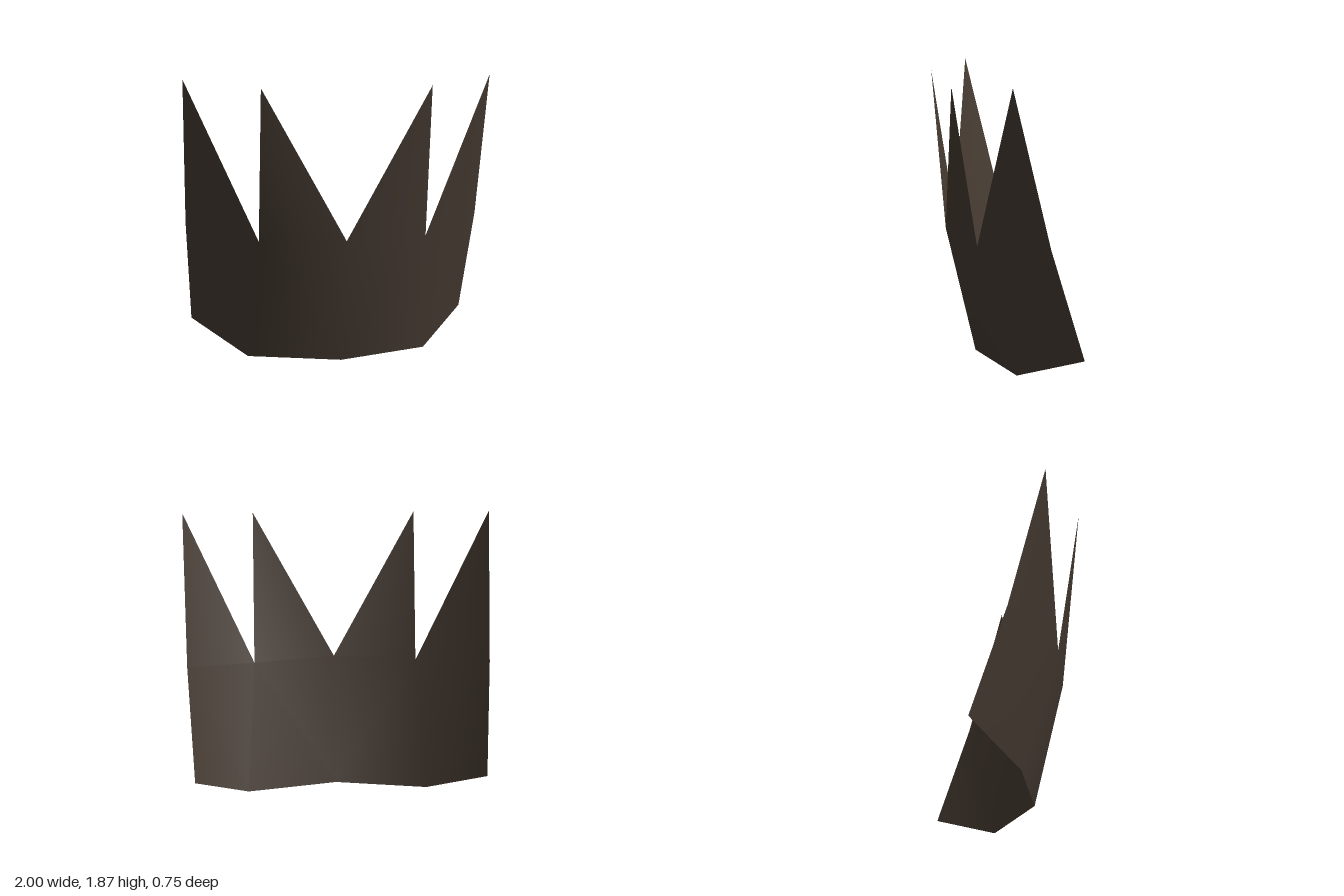
import * as THREE from 'three';

export function createModel() {
  const model = new THREE.Group();
  const darkBrown = new THREE.MeshStandardMaterial({ color: 0x453a31, side: THREE.DoubleSide });
  darkBrown.name = 'darkBrown';

  // Half profiles, from the centre line out to the model's left edge
  const bottom = [[0, 0, 0.155], [0.6, 0.006, -0.02], [0.945, 0.19, -0.378]];
  const middle = [[0, 0.845, 0.35], [0.547, 0.835, 0.222], [0.985, 0.9, -0.157]];
  const tips = [[0.542, 1.83, 0.375], [1, 1.865, 0.078]];

  // Mirror a half row into a full row running from -x to +x
  const mirror = (row) => [
    ...row.filter((p) => p[0] > 0).reverse().map(([x, y, z]) => [-x, y, z]),
    ...row,
  ];
  const points = [...mirror(bottom), ...mirror(middle), ...mirror(tips)];

  // Curved band below, one spike above each of its four panels
  const index = [];
  for (let i = 0; i < 4; i++) {
    const a = i, b = i + 1, c = i + 6, d = i + 5, tip = i + 10;
    if (i < 2) index.push(a, b, d, b, c, d);
    else index.push(a, b, c, a, c, d);
    index.push(d, c, tip);
  }

  const geometry = new THREE.BufferGeometry();
  geometry.setAttribute('position', new THREE.Float32BufferAttribute(points.flat(), 3));
  geometry.setIndex(index);
  geometry.computeVertexNormals();

  const sheet = new THREE.Mesh(geometry, darkBrown);
  sheet.name = 'spikedSheet';
  model.add(sheet);
  return model;
}
